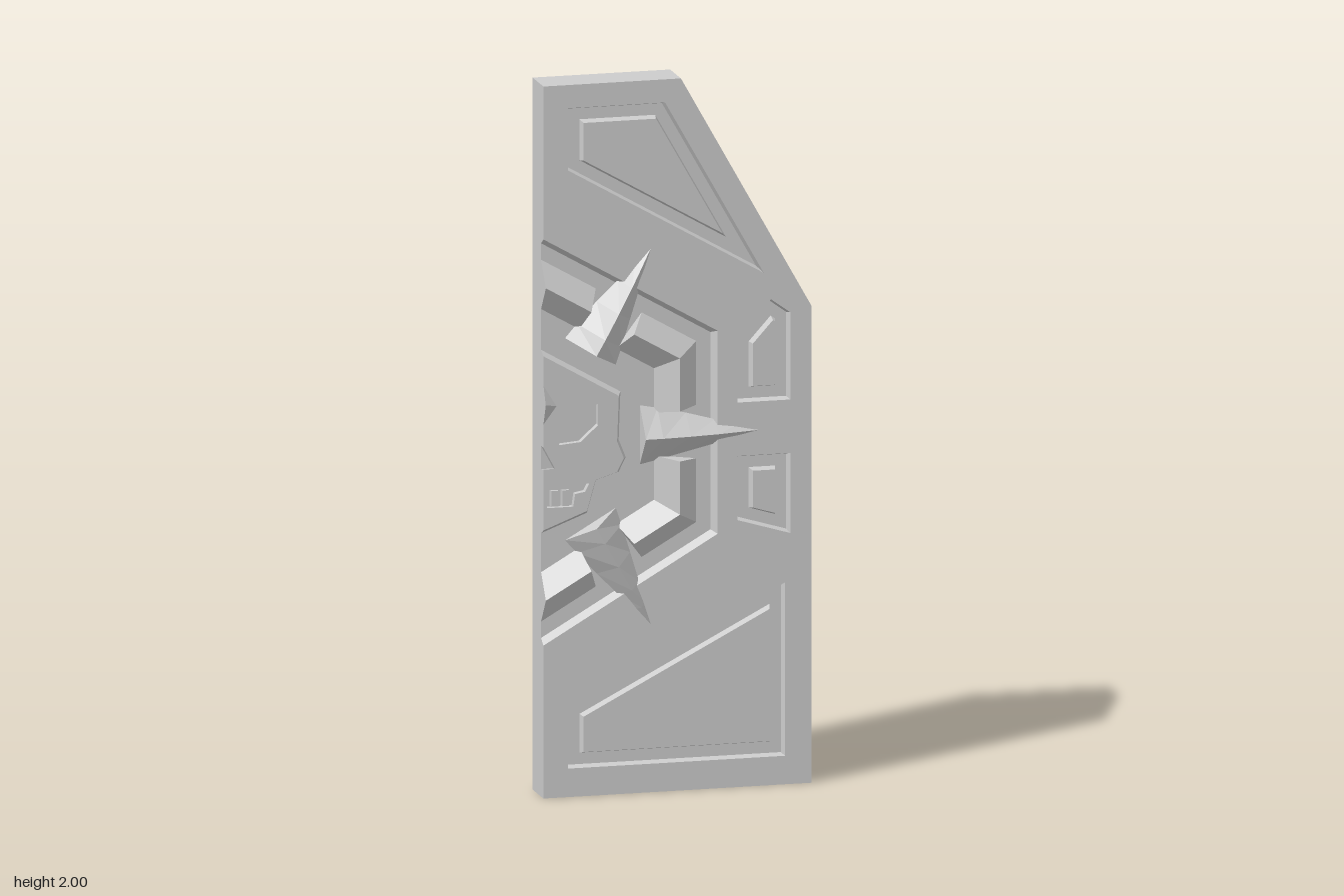
import * as THREE from 'three';

const FRONT = 0.035, FLOOR = 0.01, BACK = -0.08;
const CX = -0.38, CY = 1; // centre of the hexagonal emblem

// Collects triangles of one part and turns them into a flat shaded mesh
class Part {
  constructor(name) { this.name = name; this.pos = []; }
  tri(...pts) { for (const p of pts) this.pos.push(...p); }
  quad(a, b, c, d) { this.tri(a, b, c); this.tri(a, c, d); }
  // Wall between two matching counter-clockwise outlines (faces inward when zA > zB)
  loft(A, zA, B, zB) {
    A.forEach((p, i) => {
      const j = (i + 1) % A.length;
      this.quad([...p, zA], [...A[j], zA], [...B[j], zB], [...B[i], zB]);
    });
  }
  // Flat face with holes, facing +z (dir 1) or -z (dir -1)
  cap(poly, z, holes = [], dir = 1) {
    const vec = (l) => l.map(([x, y]) => new THREE.Vector2(x, y));
    const all = [poly, ...holes].flat();
    for (const f of THREE.ShapeUtils.triangulateShape(vec(poly), holes.map(vec))) {
      const [a, b, c] = f.map((i) => all[i]);
      const area = (b[0] - a[0]) * (c[1] - a[1]) - (b[1] - a[1]) * (c[0] - a[0]);
      const t = area * dir > 0 ? [a, b, c] : [a, c, b];
      this.tri(...t.map((p) => [...p, z]));
    }
  }
  // Skin over triangular sections [right, ridge, left], closed at both ends
  ridge(sections) {
    for (let s = 0; s + 1 < sections.length; s++) {
      const a = sections[s], b = sections[s + 1];
      for (let i = 0; i < 2; i++) this.quad(a[i], b[i], b[i + 1], a[i + 1]);
    }
    this.tri(...sections[0]);
    this.tri(...[...sections[sections.length - 1]].reverse());
  }
  mesh(material) {
    const g = new THREE.BufferGeometry();
    g.setAttribute('position', new THREE.Float32BufferAttribute(this.pos, 3));
    g.computeVertexNormals();
    const m = new THREE.Mesh(g, material);
    m.name = this.name;
    return m;
  }
}

// Moves every edge of a counter-clockwise outline inward by d
function inset(poly, d) {
  const n = poly.length;
  return poly.map((p, i) => {
    const a = poly[(i + n - 1) % n], b = poly[(i + 1) % n];
    const normal = (u, v) => {
      const l = Math.hypot(v[0] - u[0], v[1] - u[1]);
      return [-(v[1] - u[1]) / l, (v[0] - u[0]) / l];
    };
    const m = normal(a, p), k = normal(p, b);
    const s = d / (1 + m[0] * k[0] + m[1] * k[1]);
    return [p[0] + (m[0] + k[0]) * s, p[1] + (m[1] + k[1]) * s];
  });
}

// Point at distance r along an emblem direction, shifted t sideways
function polar(deg, r, t = 0) {
  const a = THREE.MathUtils.degToRad(deg), c = Math.cos(a), s = Math.sin(a);
  return [CX + r * c - t * s, CY + r * s + t * c];
}
const COS30 = Math.cos(Math.PI / 6);
// Half hexagon from bottom to top, open toward the cut edge
const halfHex = (apothem) => [-90, -30, 30, 90].map((d) => polar(d, apothem / COS30));

export function createModel() {
  const group = new THREE.Group();
  const material = new THREE.MeshStandardMaterial({ color: 0xcccccc, flatShading: true });
  const add = (part) => group.add(part.mesh(material));

  // Door slab with the open half hexagon recess
  const outline = [[-0.38, 0], [0.38, 0], [0.38, 1.34], [0.01, 2], [-0.38, 2]];
  const slab = new Part('doorSlab');
  const rim = [...outline, ...halfHex(0.494).reverse()];
  const rimBase = [...outline, ...halfHex(0.48).reverse()];
  slab.loft(outline, BACK, outline, FLOOR);
  slab.loft(rimBase, FLOOR, rim, FRONT);
  slab.cap(halfHex(0.48), FLOOR);

  // Grooved frames on the front, each around a raised island
  const frames = [
    [[-0.31, 1.76], [0.245, 1.44], [-0.035, 1.935], [-0.31, 1.935]],
    [[-0.31, 0.08], [0.305, 0.08], [0.305, 0.567], [-0.31, 0.25]],
    [[0.17, 1.08], [0.32, 1.08], [0.32, 1.325], [0.265, 1.365], [0.17, 1.26]],
    [[0.17, 0.75], [0.32, 0.705], [0.32, 0.93], [0.17, 0.93]],
  ];
  slab.cap(rim, FRONT, frames);
  const grooveZ = 0.013;
  for (const f of frames) {
    const base = inset(f, 0.006), islandBase = inset(f, 0.038), island = inset(f, 0.044);
    slab.loft(f, FRONT, base, grooveZ);
    slab.cap(base, grooveZ, [islandBase]);
    slab.loft(islandBase, grooveZ, island, FRONT);
    slab.cap(island, FRONT);
  }

  // Back: one groove around a bevelled panel
  const backZ = -0.058;
  const bOuter = inset(outline, 0.087), bBase = inset(outline, 0.092);
  const bIslandBase = inset(outline, 0.148), bIsland = inset(outline, 0.168);
  slab.cap(outline, BACK, [bOuter], -1);
  slab.loft(bBase, backZ, bOuter, BACK);
  slab.cap(bBase, backZ, [bIslandBase], -1);
  slab.loft(bIsland, BACK, bIslandBase, backZ);
  slab.cap(bIsland, BACK, [], -1);
  add(slab);

  // Ridged ring blocks at the hexagon corners, halved at the cut edge
  const profile = [[0.44, FLOOR, 0.075], [0.38, 0.061, 0.07], [0.32, FLOOR, 0.06]];
  for (const deg of [-90, -30, 30, 90]) {
    const start = profile.map(([a, z, gap]) => [...polar(deg - 30, a, gap), z]);
    const corner = profile.map(([a, z]) => [...polar(deg, a / COS30), z]);
    const end = profile.map(([a, z, gap]) => [...polar(deg + 30, a, -gap), z]);
    const block = new Part('ringBlock');
    block.ridge([...(deg > -90 ? [start] : []), corner, ...(deg < 90 ? [end] : [])]);
    add(block);
  }

  // Curved spikes through the ring gaps: radius, half width, ridge z, base z
  const stations = [
    [0.28, 0.083, 0.076, FLOOR], [0.33, 0.073, 0.076, FLOOR], [0.41, 0.055, 0.07, FLOOR],
    [0.49, 0.034, 0.06, 0.02], [0.55, 0.017, 0.048, 0.03], [0.607, 0.001, 0.036, 0.034],
  ];
  for (const deg of [-60, 0, 60]) {
    const spike = new Part('spike');
    spike.ridge(stations.map(([r, w, top, base]) => [
      [...polar(deg, r, -w), base], [...polar(deg, r), top], [...polar(deg, r, w), base],
    ]));
    add(spike);
  }

  // Half mask with nose notch, eye and mouth
  const mask = new Part('mask');
  const maskBase = [
    [-0.38, 0.74], [-0.25, 0.79], [-0.225, 0.88], [-0.16, 0.9], [-0.14, 0.94], [-0.16, 0.99],
    [-0.155, 1.125], [-0.38, 1.255], [-0.38, 0.985], [-0.345, 0.92], [-0.38, 0.92],
  ];
  const maskTop = maskBase.map(([x, y]) => [CX + (x - CX) * 0.95, CY + (y - CY) * 0.95]);
  const eye = [[-0.335, 0.99], [-0.275, 0.995], [-0.225, 1.04], [-0.225, 1.1], [-0.345, 1.045]];
  const mouth = [
    [-0.37, 0.815], [-0.295, 0.815], [-0.29, 0.85], [-0.262, 0.855], [-0.25, 0.878],
    [-0.3, 0.875], [-0.305, 0.865], [-0.37, 0.865],
  ];
  mask.loft(maskBase, FLOOR, maskTop, FRONT);
  mask.cap(maskTop, FRONT, [eye, mouth]);
  for (const hole of [eye, mouth]) {
    mask.loft(hole, FRONT, hole, 0.015);
    mask.cap(hole, 0.015);
  }
  add(mask);

  // Pointed brow boss
  const brow = new Part('brow');
  const peak = [-0.38, 1.11];
  brow.loft([[-0.38, 1.05], [-0.343, 1.1], [-0.38, 1.16]], FRONT, [peak, peak, peak], 0.06);
  add(brow);

  // Teeth
  for (const x of [-0.347, -0.316]) {
    const tooth = new THREE.Mesh(new THREE.BoxGeometry(0.02, 0.044, 0.02), material);
    tooth.position.set(x, 0.84, 0.024);
    tooth.name = 'tooth';
    group.add(tooth);
  }
  return group;
}
